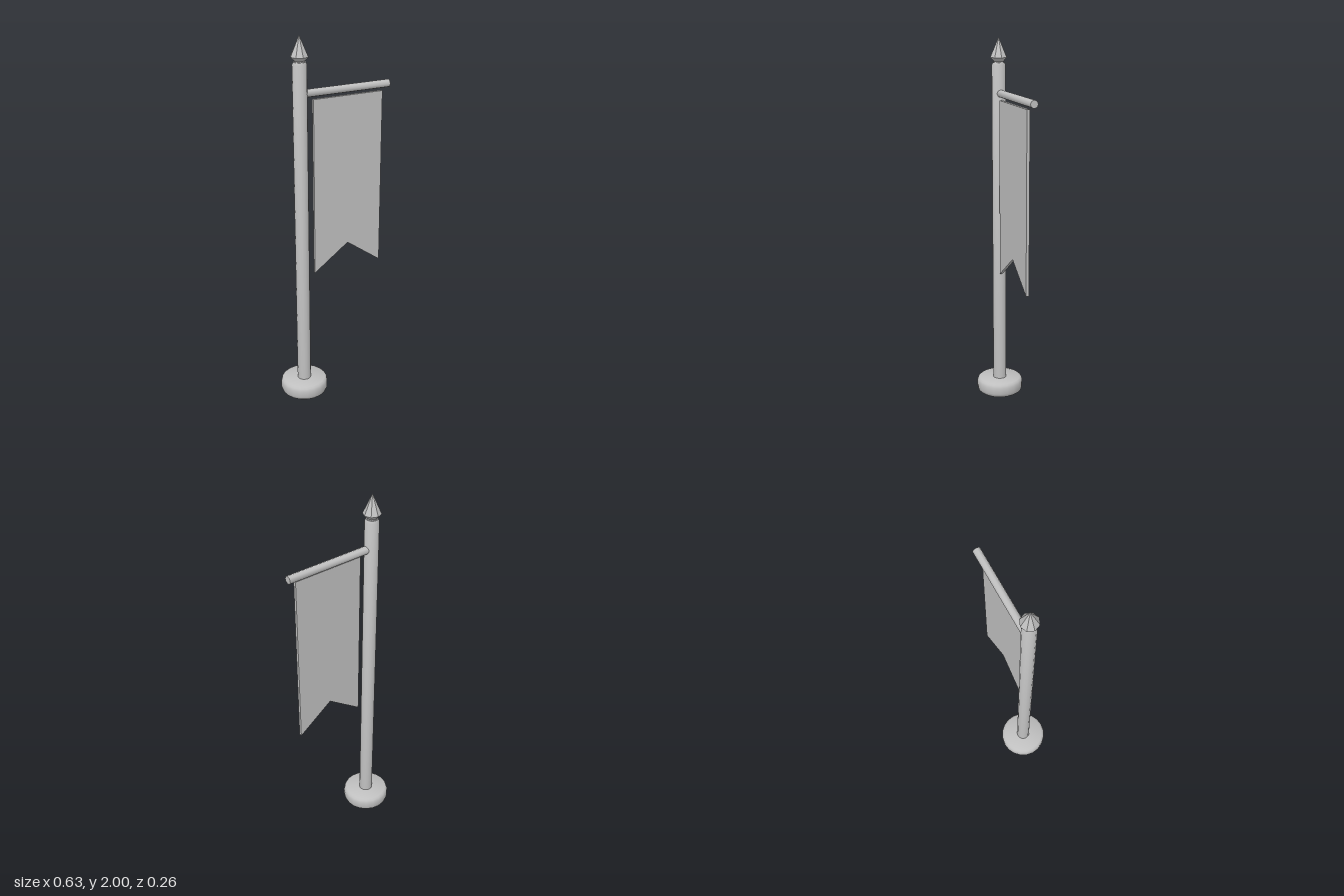
import * as THREE from 'three';
import { toCreasedNormals } from 'three/addons/utils/BufferGeometryUtils.js';

const POLE_X = -0.185;

export function createModel() {
  const group = new THREE.Group();
  group.name = 'bannerPole';
  const grey = new THREE.MeshStandardMaterial({ color: 0xc0c0c0 });
  grey.name = 'grey';

  const add = (name, geometry, x = 0, y = 0, z = 0) => {
    const mesh = new THREE.Mesh(geometry, grey);
    mesh.name = name;
    mesh.position.set(x, y, z);
    group.add(mesh);
    return mesh;
  };

  // Turned part from a [radius, height] profile, listed bottom to top
  const turned = (profile, sides, crease) => toCreasedNormals(
    new THREE.LatheGeometry(profile.map(([r, y]) => new THREE.Vector2(r, y)), sides), crease);

  // Round foot with softened rims
  add('base', turned([
    [0, 0.004], [0.114, 0.004], [0.124, 0.012], [0.13, 0.028],
    [0.13, 0.062], [0.125, 0.077], [0.115, 0.084], [0, 0.084],
  ], 20, 0.75), POLE_X);

  // Upright with a small chamfer at the top
  add('pole', turned([
    [0, 0.08], [0.037, 0.08], [0.037, 1.857], [0.031, 1.87], [0, 1.87],
  ], 16, 0.6), POLE_X);

  // Faceted spear tip
  add('finial', turned([
    [0, 1.866], [0.027, 1.866], [0.027, 1.876], [0.047, 1.896], [0, 2],
  ], 8, 0.1), POLE_X);

  // Crossbar reaching out to the model's left
  const bar = new THREE.CylinderGeometry(0.021, 0.021, 0.485, 8);
  bar.rotateZ(Math.PI / 2);
  add('crossbar', toCreasedNormals(bar, 0.9), 0.0725, 1.71, 0);

  // Swallow-tailed cloth hanging below the crossbar
  const cloth = new THREE.Shape([
    [-0.121, 1.68], [-0.121, 0.727], [0.074, 0.868], [0.269, 0.727], [0.269, 1.68],
  ].map(([x, y]) => new THREE.Vector2(x, y)));
  add('banner', new THREE.ExtrudeGeometry(cloth, { depth: 0.016, bevelEnabled: false }), 0, 0, 0.004);

  return group;
}
